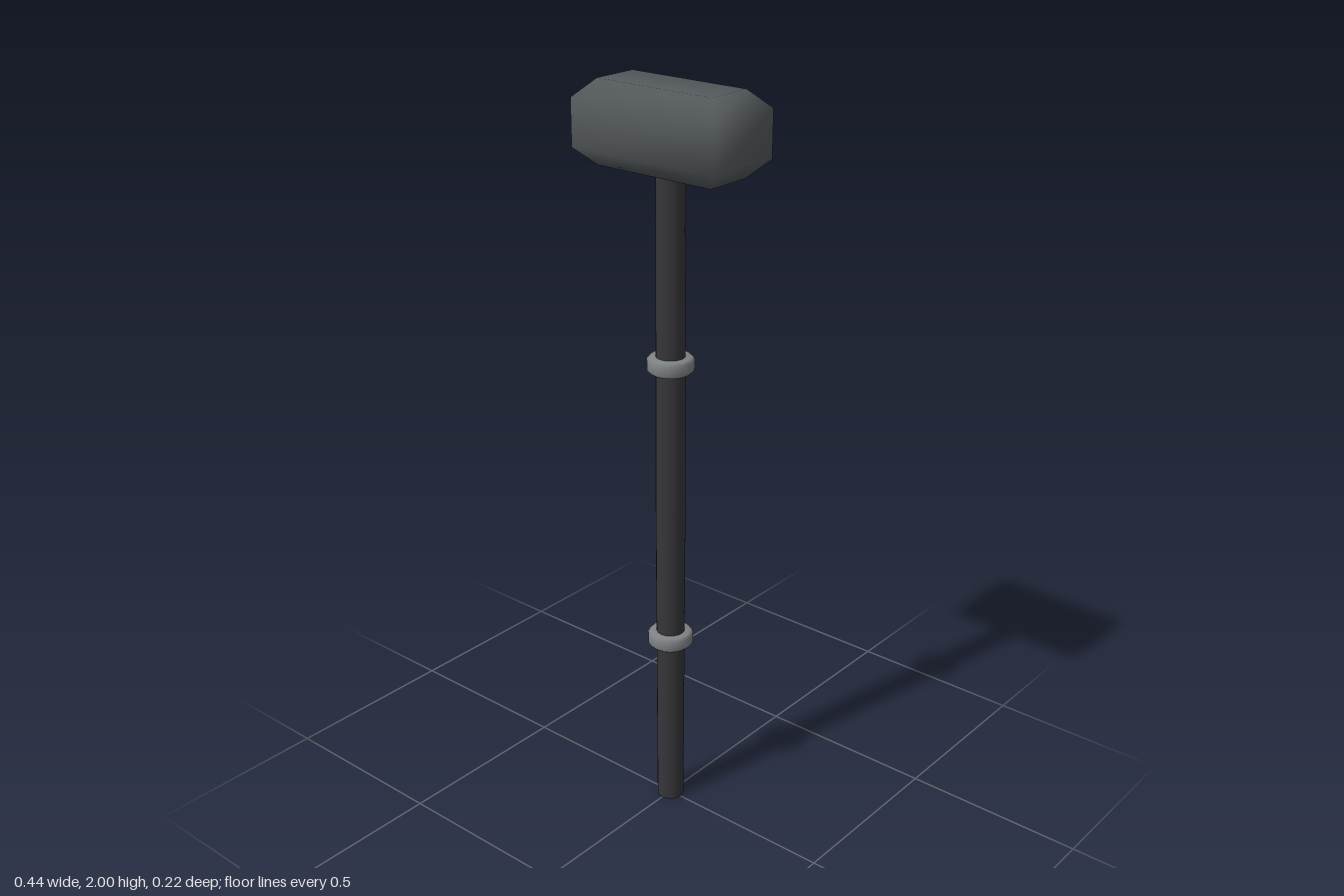
import * as THREE from 'three';

const mat = (name, color) => {
  const m = new THREE.MeshStandardMaterial({ color });
  m.name = name;
  return m;
};

// Box whose top and bottom edges are bevelled, with smooth shared normals
function bevelledBlock(hx, hz, y0, y1, bevel) {
  const rings = [[y0, bevel], [y0 + bevel, 0], [y1 - bevel, 0], [y1, bevel]];
  const corners = [[1, 1], [1, -1], [-1, -1], [-1, 1]];
  const pos = [], idx = [];
  for (const [y, inset] of rings)
    for (const [sx, sz] of corners) pos.push(sx * (hx - inset), y, sz * (hz - inset));
  for (let r = 0; r < 3; r++)
    for (let i = 0; i < 4; i++) {
      const a = r * 4 + i, b = r * 4 + (i + 1) % 4;
      idx.push(a, b, b + 4, a, b + 4, a + 4);
    }
  idx.push(0, 2, 1, 0, 3, 2, 12, 13, 14, 12, 14, 15);
  const g = new THREE.BufferGeometry();
  g.setAttribute('position', new THREE.Float32BufferAttribute(pos, 3));
  g.setIndex(idx);
  g.computeVertexNormals();
  return g;
}

export function createModel() {
  const group = new THREE.Group();
  const headMat = mat('dark steel', 0x54595b);
  const handleMat = mat('black grip', 0x36363a);
  const bandMat = mat('grey metal', 0x808386);

  const add = (name, geometry, material, y = 0) => {
    const mesh = new THREE.Mesh(geometry, material);
    mesh.name = name;
    mesh.position.y = y;
    group.add(mesh);
  };

  // Hammer head
  add('head', bevelledBlock(0.22, 0.109, 1.79, 2, 0.045), headMat);

  // Handle, swelling very slightly towards the middle
  const handle = new THREE.CylinderGeometry(0.0365, 0.0365, 1.8, 20, 2);
  const p = handle.attributes.position;
  for (let i = 0; i < p.count; i++)
    if (Math.abs(p.getY(i)) < 0.01) p.setXYZ(i, p.getX(i) * 1.07, p.getY(i), p.getZ(i) * 1.07);
  add('handle', handle, handleMat, 0.9);

  // Two rounded bands around the handle
  const profile = [[0.034, -0.021], [0.053, -0.021], [0.061, -0.013], [0.061, 0.013], [0.053, 0.021], [0.034, 0.021]]
    .map(([r, y]) => new THREE.Vector2(r, y));
  add('upperBand', new THREE.LatheGeometry(profile, 20), bandMat, 1.3);
  add('lowerBand', new THREE.LatheGeometry(profile, 20), bandMat, 0.51);

  return group;
}
